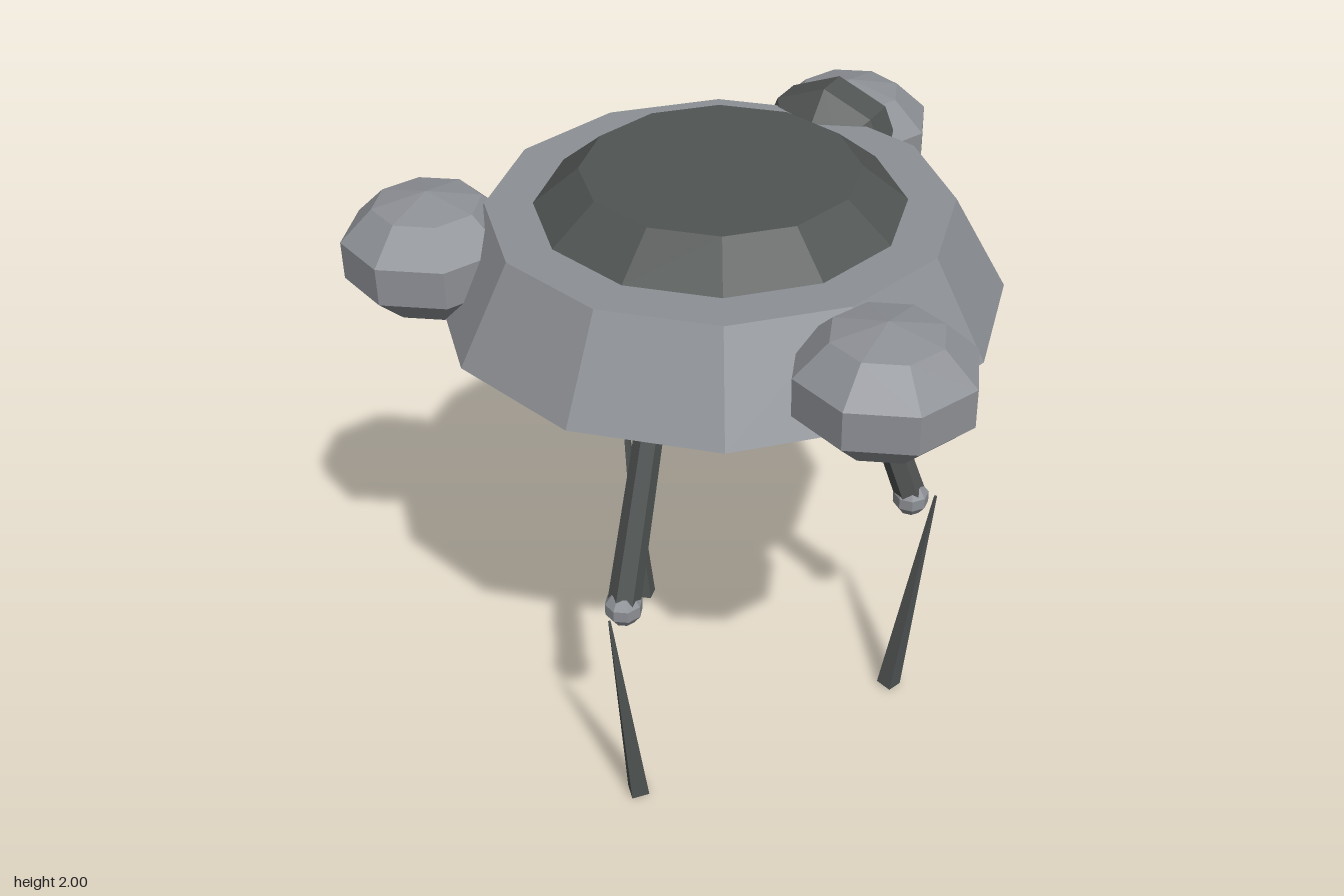
import * as THREE from 'three';

export function createModel() {
  const model = new THREE.Group();
  const light = new THREE.MeshStandardMaterial({ color: 0x8d9095, flatShading: true });
  light.name = 'light grey metal';
  const dark = new THREE.MeshStandardMaterial({ color: 0x505453, flatShading: true });
  dark.name = 'dark grey metal';

  const add = (parent, name, geometry, material, x = 0, y = 0, z = 0) => {
    const mesh = new THREE.Mesh(geometry, material);
    mesh.name = name;
    mesh.position.set(x, y, z);
    parent.add(mesh);
    return mesh;
  };

  // Twelve-sided frustum between two heights
  const frustum = (parent, name, material, rTop, rBottom, y0, y1) =>
    add(parent, name, new THREE.CylinderGeometry(rTop, rBottom, y1 - y0, 12), material, 0, (y0 + y1) / 2, 0);

  // Tapered strut from point a (bottom) to point b (top)
  const strut = (parent, name, a, b, rBottom, rTop, sides) => {
    const dir = b.clone().sub(a);
    const mid = a.clone().add(b).multiplyScalar(0.5);
    const mesh = add(parent, name, new THREE.CylinderGeometry(rTop, rBottom, dir.length(), sides), dark, mid.x, mid.y, mid.z);
    mesh.quaternion.setFromUnitVectors(new THREE.Vector3(0, 1, 0), dir.normalize());
  };

  // Saucer body, set slightly forward of the centre
  const body = new THREE.Group();
  body.name = 'body';
  body.position.z = 0.125;
  model.add(body);
  frustum(body, 'hull', light, 0.68, 0.84, 1.6, 1.89);
  frustum(body, 'topHatch', dark, 0.405, 0.54, 1.89, 2.0);
  frustum(body, 'bottomPlate', dark, 0.38, 0.54, 1.5, 1.6);

  // Three flattened pods around the rim
  const podPlaces = { leftPod: [0.73, 0.547], rightPod: [-0.73, 0.547], rearPod: [0, -0.717] };
  for (const [name, [x, z]] of Object.entries(podPlaces)) {
    const pod = new THREE.SphereGeometry(0.271, 8, 5).scale(1, 0.69, 1);
    add(model, name, pod, light, x, 1.745, z);
  }

  // Dark collar joining the rear pod to the hull
  const collar = new THREE.SphereGeometry(0.241, 8, 5).scale(1, 0.73, 1).rotateX(Math.PI / 2);
  add(model, 'rearCollar', collar, dark, 0, 1.745, -0.583);

  // Three jointed legs, one in front and two behind
  ['frontLeg', 'leftRearLeg', 'rightRearLeg'].forEach((name, i) => {
    const leg = new THREE.Group();
    leg.name = name;
    leg.rotation.y = i * Math.PI * 2 / 3;
    body.add(leg);
    const at = (y, r) => new THREE.Vector3(0, y, r);
    strut(leg, 'upperLeg', at(0.83, 0.6), at(1.53, 0.365), 0.05, 0.04, 6);
    add(leg, 'knee', new THREE.SphereGeometry(0.06, 8, 5), light, 0, 0.815, 0.603);
    strut(leg, 'lowerLeg', at(0.01, 0.567), at(0.815, 0.683), 0.04, 0.005, 4);
  });

  return model;
}
